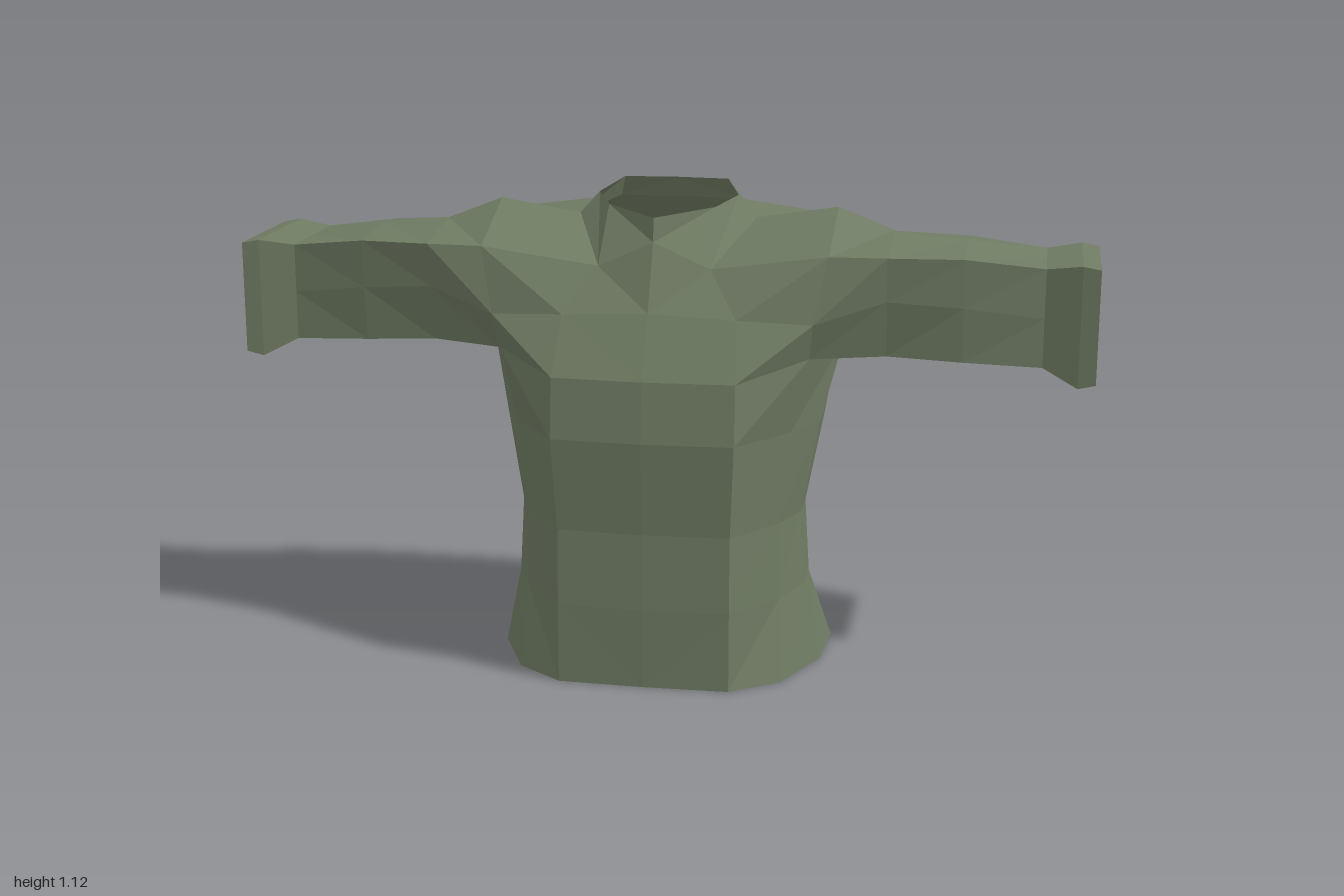
import * as THREE from 'three';

const cloth = new THREE.MeshStandardMaterial({ color: 0x6f7b63, side: THREE.DoubleSide, flatShading: true });
cloth.name = 'olive cloth';

// Skin neighbouring rows of points; flip turns the faces over, skip leaves a cell open
function skin(rows, { closed = false, flip = false, side = 1, skip = () => false } = {}) {
  const out = [];
  for (let i = 0; i < rows.length - 1; i++) {
    const n = rows[i].length;
    for (let j = 0; j < (closed ? n : n - 1); j++) {
      if (skip(i, j)) continue;
      const k = (j + 1) % n;
      let quad = [rows[i][j], rows[i][k], rows[i + 1][k], rows[i + 1][j]];
      if (flip !== (side < 0)) quad = [quad[0], quad[3], quad[2], quad[1]];
      for (const c of [0, 1, 2, 0, 2, 3]) out.push(quad[c][0] * side, quad[c][1], quad[c][2]);
    }
  }
  return out;
}

function mesh(name, positions) {
  const g = new THREE.BufferGeometry();
  g.setAttribute('position', new THREE.Float32BufferAttribute(positions, 3));
  g.computeVertexNormals();
  const m = new THREE.Mesh(g, cloth);
  m.name = name;
  return m;
}

const both = (rows, opts) => [...skin(rows, { ...opts, side: 1 }), ...skin(rows, { ...opts, side: -1 })];

// Horizontal torso ring, front centre round the left side to back centre
const ring = (y, pts) => pts.map(([x, z]) => [x, y, z]);

// Boxy sleeve section: crown rises above the corners, slope tucks the lower front edge in
function sleeveRing(x, yb, yt, zf, zb, crown = 0, slope = 0) {
  const ym = (yb + yt) / 2, zm = (zf + zb) / 2, yc = yt - crown;
  return [
    [x, yb, zf - slope], [x, ym, zf - slope * 0.3], [x, yc, zf], [x, yt, zm],
    [x, yc, zb + crown], [x, ym + crown, zb], [x, yb, zb + slope * 0.4], [x, yb, zm],
  ];
}

export function createModel() {
  const group = new THREE.Group();
  group.name = 'shirt';

  // Columns over the shoulders, from chest up over the top and down the back
  const centre = [
    [0, 0.73, 0.29], [0, 0.87, 0.21], [0, 1.02, 0.14], [0, 1.05, -0.06],
    [0, 1.07, -0.21], [0, 0.98, -0.29], [0, 0.75, -0.305],
  ];
  const neckSide = [
    [0.21, 0.73, 0.28], [0.2, 0.86, 0.205], [0.13, 0.96, 0.13], [0.21, 1.05, -0.06],
    [0.14, 1.07, -0.21], [0.22, 0.98, -0.285], [0.22, 0.75, -0.3],
  ];
  const armhole = [
    [0.36, 0.765, 0.15], [0.37, 0.85, 0.18], [0.4, 1.0, 0.145], [0.4, 1.08, -0.06],
    [0.4, 1.035, -0.21], [0.4, 0.95, -0.27], [0.39, 0.74, -0.23],
  ];
  const armpit = [0.42, 0.77, -0.04];

  // Torso, open at the hem
  const torso = [
    ring(0, [[0, 0.285], [0.2, 0.28], [0.31, 0.2], [0.385, 0.03], [0.395, -0.14], [0.2, -0.225], [0, -0.23]]),
    ring(0.19, [[0, 0.29], [0.2, 0.28], [0.3, 0.15], [0.345, 0.04], [0.345, -0.07], [0.2, -0.155], [0, -0.16]]),
    ring(0.37, [[0, 0.285], [0.2, 0.275], [0.295, 0.145], [0.335, 0.04], [0.335, -0.06], [0.2, -0.17], [0, -0.18]]),
    ring(0.59, [[0, 0.305], [0.21, 0.295], [0.32, 0.142], [0.375, 0.02], [0.375, -0.11], [0.21, -0.265], [0, -0.275]]),
    [centre[0], neckSide[0], armhole[0], armpit, armhole[6], neckSide[6], centre[6]],
  ];
  group.add(mesh('torso', both(torso)));

  // Chest, shoulders and upper back, with the neck left open
  const neckHole = (i, j) => i === 0 && (j === 2 || j === 3);
  group.add(mesh('shoulders', both([centre, neckSide, armhole], { flip: true, skip: neckHole })));

  // Sleeves, flared at the open cuff
  const sleeve = [
    [...armhole, armpit],
    sleeveRing(0.53, 0.765, 1.03, 0.14, -0.24, 0.03, 0.05),
    sleeveRing(0.7, 0.755, 1.01, 0.1, -0.23, 0.015, 0.02),
    sleeveRing(0.88, 0.745, 0.972, 0.058, -0.21),
    sleeveRing(0.96, 0.705, 0.985, 0.082, -0.224),
    sleeveRing(1, 0.715, 0.978, 0.085, -0.22),
  ];
  for (const [name, side] of [['leftSleeve', 1], ['rightSleeve', -1]]) {
    group.add(mesh(name, skin(sleeve, { closed: true, flip: true, side })));
  }

  // Standing collar
  const collar = [
    [centre[2], neckSide[2], neckSide[3], neckSide[4], centre[4]],
    [[0, 1.075, 0.135], [0.125, 1.085, 0.02], [0.165, 1.1, -0.07], [0.125, 1.12, -0.18], [0, 1.12, -0.19]],
  ];
  group.add(mesh('collar', both(collar)));

  return group;
}
